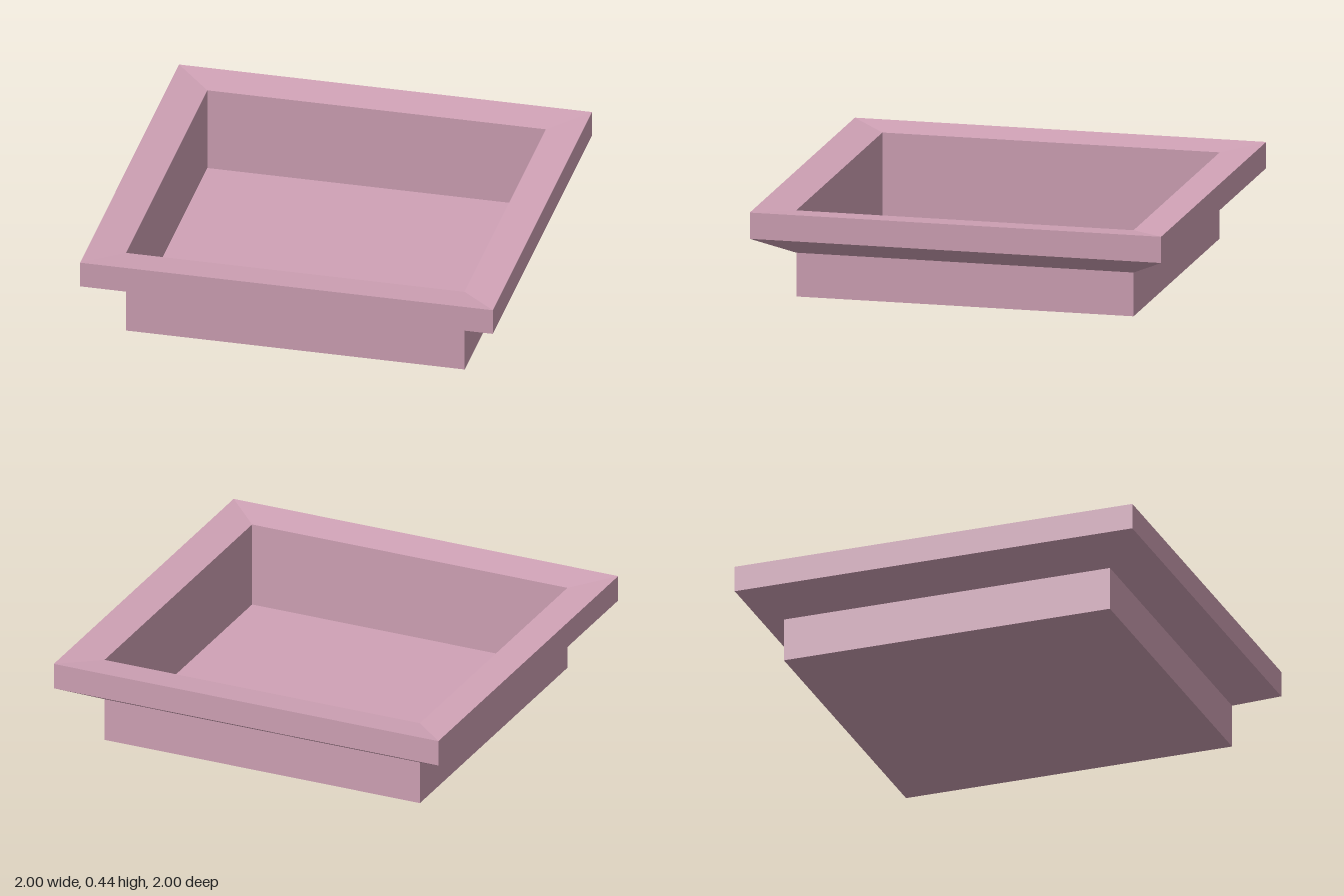
import * as THREE from 'three';

const material = new THREE.MeshStandardMaterial({
  color: 0xd0a2b6, flatShading: true, side: THREE.DoubleSide,
});

// Square ring swept from a [half-width, height] profile, sides facing the axes
function squareSweep(name, profile) {
  const points = profile.map(([half, y]) => new THREE.Vector2(half * Math.SQRT2, y));
  const geometry = new THREE.LatheGeometry(points, 4, Math.PI / 4).toNonIndexed();
  geometry.computeVertexNormals();
  const mesh = new THREE.Mesh(geometry, material);
  mesh.name = name;
  return mesh;
}

export function createModel() {
  const model = new THREE.Group();
  model.name = 'squareTray';

  const inner = 0.82, outer = 1;
  const lipY = 0.417; // inner edge of the rim, slightly below its outer edge

  // Thin upright walls, seen from inside and outside
  model.add(squareSweep('walls', [[inner, 0], [inner, lipY]]));

  // Flared rim: sloping underside, vertical edge, top falling gently inward
  model.add(squareSweep('rim', [
    [inner, 0.212], [outer, 0.31], [outer, 0.437], [inner, lipY],
  ]));

  // Thin floor
  const floor = new THREE.Mesh(new THREE.PlaneGeometry(inner * 2, inner * 2), material);
  floor.rotation.x = -Math.PI / 2;
  floor.name = 'floor';
  model.add(floor);

  return model;
}
